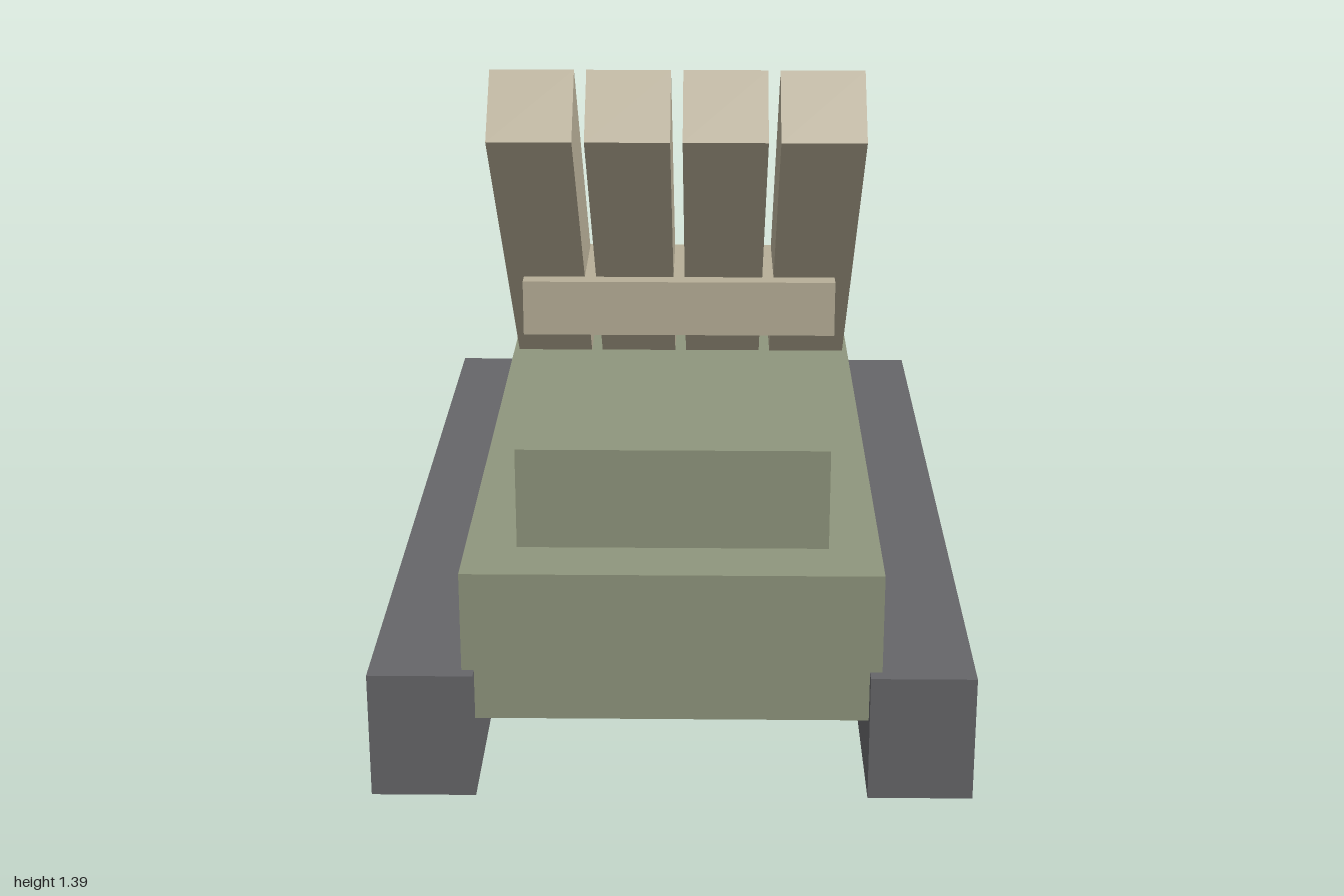
import * as THREE from 'three';

const material = (color) => new THREE.MeshStandardMaterial({ color });

export function createModel() {
  const model = new THREE.Group();
  const green = material(0x8f967d);
  const tan = material(0xb8af98);
  const dark = material(0x666669);

  const addBox = (name, size, position, mat, parent = model) => {
    const mesh = new THREE.Mesh(new THREE.BoxGeometry(...size), mat);
    mesh.name = name;
    mesh.position.set(...position);
    parent.add(mesh);
    return mesh;
  };

  // Hull and cabin
  addBox('hull', [0.882, 0.332, 1.942], [0, 0.334, 0], green);
  addBox('cabin', [0.662, 0.222, 0.55], [0, 0.611, 0.558], green);

  // Tracks on both sides
  for (const side of [-1, 1]) {
    addBox(side > 0 ? 'leftTrack' : 'rightTrack', [0.222, 0.28, 2], [side * 0.526, 0.14, 0], dark);
  }

  // Cross beam carrying the launch tubes
  addBox('launcherBeam', [0.774, 0.138, 0.33], [0, 0.725, -0.276], tan);

  // Four launch tubes tilted forward by 45 degrees, feet sunk into the hull
  const launcher = new THREE.Group();
  launcher.name = 'launcher';
  launcher.position.set(0, 1.318, 0.233); // centre of the muzzle end
  launcher.rotation.x = Math.PI / 4;
  const length = 1.4;
  for (let i = 0; i < 4; i++) {
    addBox(`launchTube${i + 1}`, [0.193, length, 0.193], [(i - 1.5) * 0.221, -length / 2, 0], tan, launcher);
  }
  model.add(launcher);

  return model;
}
